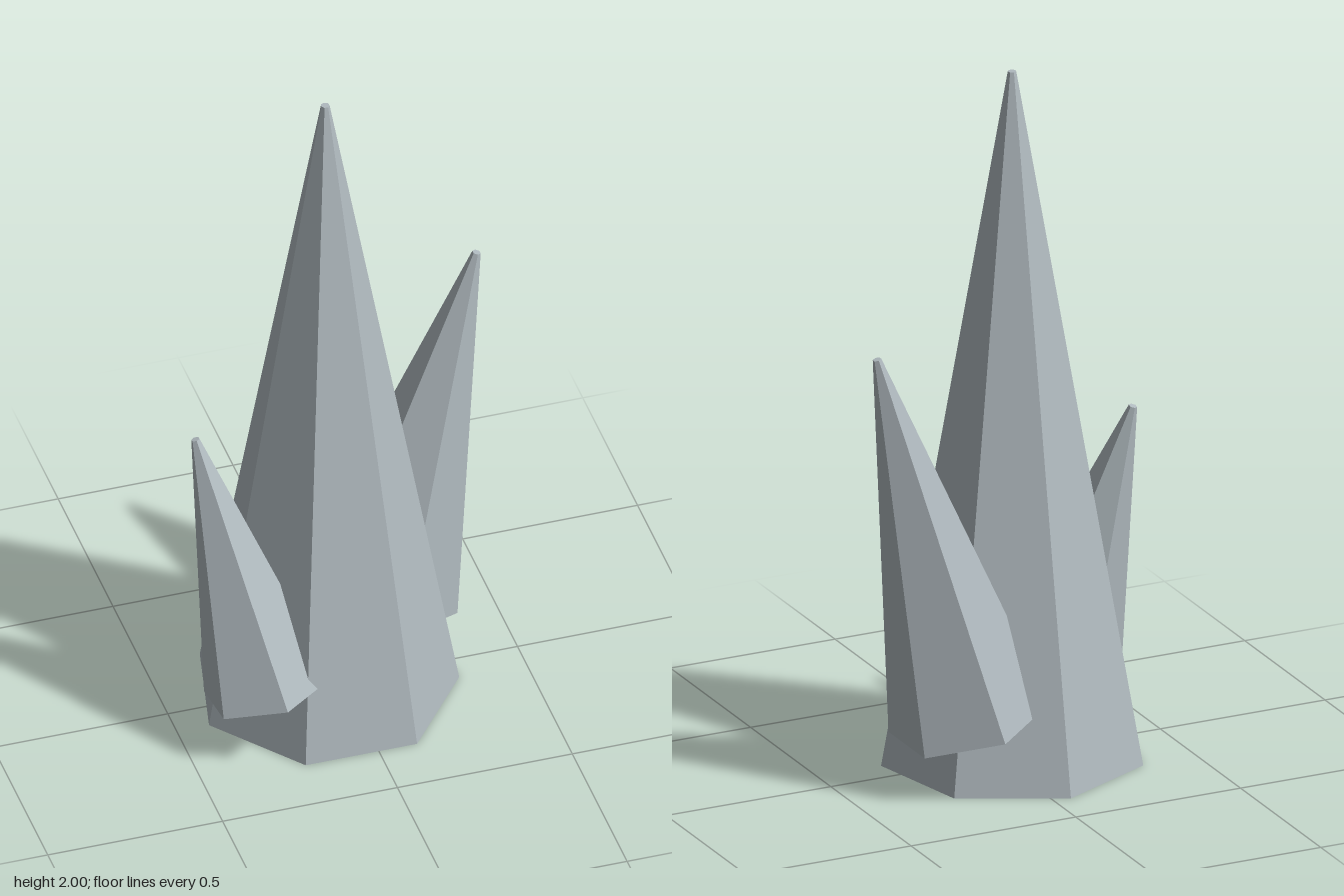
import * as THREE from 'three';

export function createModel() {
  const group = new THREE.Group();
  group.name = 'rockSpires';
  const stone = new THREE.MeshStandardMaterial({ color: 0xb0babf, flatShading: true });
  stone.name = 'pale grey stone';

  // A faceted spike whose base centre sits at the given position
  function spike(name, radius, tipRadius, height, sides, position, tilt, turn = 0) {
    const geometry = new THREE.CylinderGeometry(tipRadius, radius, height, sides, 1, false, turn);
    geometry.translate(0, height / 2, 0);
    const mesh = new THREE.Mesh(geometry, stone);
    mesh.name = name;
    mesh.position.set(...position);
    mesh.rotation.set(...tilt);
    group.add(mesh);
  }

  // Tall central spire, with one corner towards the back
  spike('mainSpire', 0.367, 0.012, 2, 7, [-0.05, 0, 0], [0, 0, 0], Math.PI);
  // Two smaller spires leaning outwards from its sides
  spike('leftSpire', 0.226, 0.012, 1.13, 6, [0.145, 0.188, -0.133], [0, 0, -0.25]);
  spike('rightSpire', 0.185, 0.012, 0.8, 6, [-0.269, 0.181, 0.178], [-0.2, 0, 0.2]);

  return group;
}
